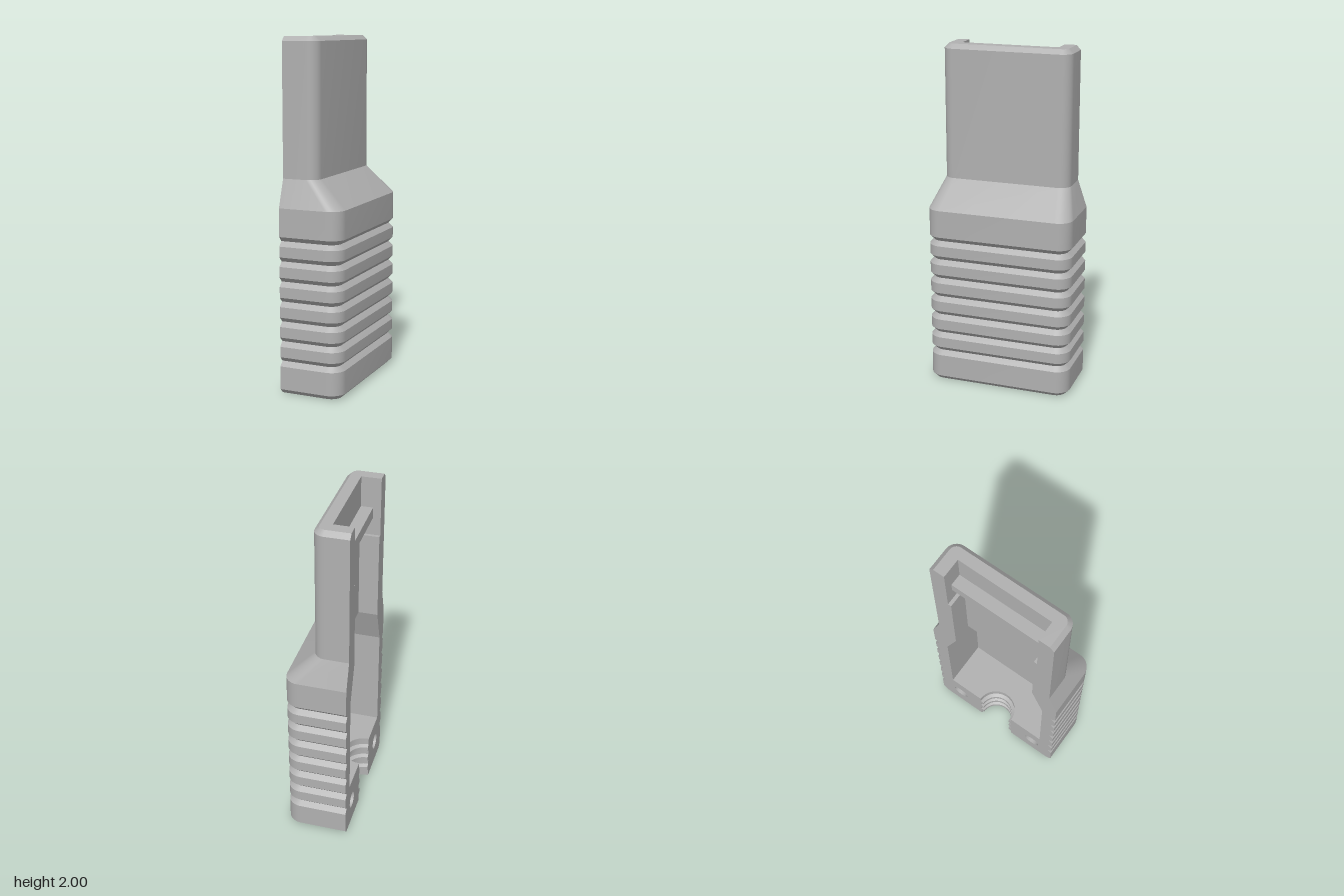
import * as THREE from 'three';
import { toCreasedNormals } from 'three/addons/utils/BufferGeometryUtils.js';

const CUT = -0.182; // flat open side of the half shell
const FLOOR = 0.3;

// Open outline (x, z) with two rounded corners, from -z round to +z
function outline(x, z, r, steps = 8) {
  const pts = [[CUT, -z]];
  for (const side of [-1, 1]) {
    for (let i = 0; i <= steps; i++) {
      const t = (side < 0 ? i : steps - i) / steps * Math.PI / 2;
      pts.push([x - r + r * Math.sin(t), side * (z - r + r * Math.cos(t))]);
    }
  }
  pts.push([CUT, z]);
  return pts;
}

// Skin between stacked outlines: levels = [{ y, pts }]
function loft(levels, inward) {
  const pos = [], idx = [], n = levels[0].pts.length;
  for (const { y, pts } of levels) for (const [x, z] of pts) pos.push(x, y, z);
  for (let j = 0; j < levels.length - 1; j++) {
    for (let i = 0; i < n - 1; i++) {
      const a = j * n + i, b = a + 1, c = a + n, d = c + 1;
      if (inward) idx.push(a, b, c, b, d, c);
      else idx.push(a, c, b, b, c, d);
    }
  }
  const g = new THREE.BufferGeometry();
  g.setAttribute('position', new THREE.Float32BufferAttribute(pos, 3));
  g.setIndex(idx);
  return toCreasedNormals(g, 0.25);
}

const toShape = (pts) => new THREE.Shape(pts.map(([a, b]) => new THREE.Vector2(a, b)));

// Horizontal flat face from (x, z) points
function flatFace(pts, y) {
  return new THREE.ShapeGeometry(toShape(pts)).rotateX(Math.PI / 2).translate(0, y, 0);
}

// Half circle of the cable bore, from +z round to -z
function boreArc(r) {
  return Array.from({ length: 25 }, (_, i) => {
    const t = i / 24 * Math.PI;
    return [CUT + r * Math.sin(t), r * Math.cos(t)];
  });
}

export function createModel() {
  const group = new THREE.Group();
  const grey = new THREE.MeshStandardMaterial({ color: 0xb0b0b0, side: THREE.DoubleSide });
  grey.name = 'grey plastic';
  const add = (name, geometry) => {
    const mesh = new THREE.Mesh(geometry, grey);
    mesh.name = name;
    group.add(mesh);
    return mesh;
  };

  // Outer profile: [y, x reach, half depth, corner radius]
  const full = [0.182, 0.432, 0.085], inset = [0.156, 0.406, 0.06];
  const outer = [[0, ...inset], [0.026, ...full]];
  for (let i = 0; i < 7; i++) {
    const y = 0.16 + i * 0.115;
    outer.push([y, ...full], [y + 0.027, ...inset], [y + 0.054, ...full]);
  }
  outer.push([1.065, ...full], [1.223, 0.022, 0.378, 0.065],
    [1.974, 0.022, 0.378, 0.065], [2, -0.004, 0.352, 0.04]);
  const outerLevels = outer.map(([y, x, z, r]) => ({ y, pts: outline(x, z, r) }));
  add('ribbedOuterShell', loft(outerLevels, false));

  // Cavity profile: [y, x reach, half depth]
  const inner = [[FLOOR, 0.092, 0.34], [0.92, 0.092, 0.34], [1.13, -0.067, 0.265],
    [1.65, -0.067, 0.265], [1.65, -0.067, 0.285], [2, -0.067, 0.285]];
  const innerLevels = inner.map(([y, x, z]) => ({ y, pts: [[CUT, -z], [x, -z], [x, z], [CUT, z]] }));
  add('cavityWalls', loft(innerLevels, true));

  // Ribbed cable bore: [radius, y]
  const bore = [[0.12, 0]];
  for (const y of [0.045, 0.125, 0.205]) {
    bore.push([0.12, y], [0.1, y + 0.012], [0.1, y + 0.038], [0.12, y + 0.05]);
  }
  bore.push([0.12, FLOOR]);
  const boreGeometry = new THREE.LatheGeometry(
    bore.map(([r, y]) => new THREE.Vector2(r, y)), 24, 0, Math.PI);
  add('cableBore', toCreasedNormals(boreGeometry, 0.25)).position.x = CUT;

  // Horizontal end faces and cavity floor
  add('bottomFace', flatFace([...outerLevels[0].pts, ...boreArc(0.12)], 0));
  add('cavityFloor', flatFace([...innerLevels[0].pts, ...boreArc(0.12)], FLOOR));
  add('topRim', flatFace([...outerLevels.at(-1).pts, ...[...innerLevels.at(-1).pts].reverse()], 2));

  // Flat mating faces with blind pin holes, mirrored
  const holeR = 0.05, holeY = 0.15, holeZ = 0.283, depth = 0.18;
  for (const side of [1, -1]) {
    const shape = toShape([
      ...bore,
      ...inner.map(([y, , z]) => [z, y]),
      ...[...outer].reverse().map(([y, , z]) => [z, y]),
    ].map(([z, y]) => [side * z, y]));
    const hole = new THREE.Path();
    hole.absarc(side * holeZ, holeY, holeR, 0, Math.PI * 2);
    shape.holes.push(hole);
    const face = new THREE.ShapeGeometry(shape, 12).rotateY(-Math.PI / 2);
    add('matingFace', face).position.x = CUT;

    const wall = new THREE.CylinderGeometry(holeR, holeR, depth, 24, 1, true).rotateZ(Math.PI / 2);
    add('pinHoleWall', wall).position.set(CUT + depth / 2, holeY, side * holeZ);
    const end = new THREE.CircleGeometry(holeR, 24).rotateY(-Math.PI / 2);
    add('pinHoleEnd', end).position.set(CUT + depth, holeY, side * holeZ);
  }

  // Cross bar near the open top
  add('crossBar', new THREE.BoxGeometry(0.07, 0.065, 0.57)).position.set(-0.102, 1.787, 0);

  return group;
}
